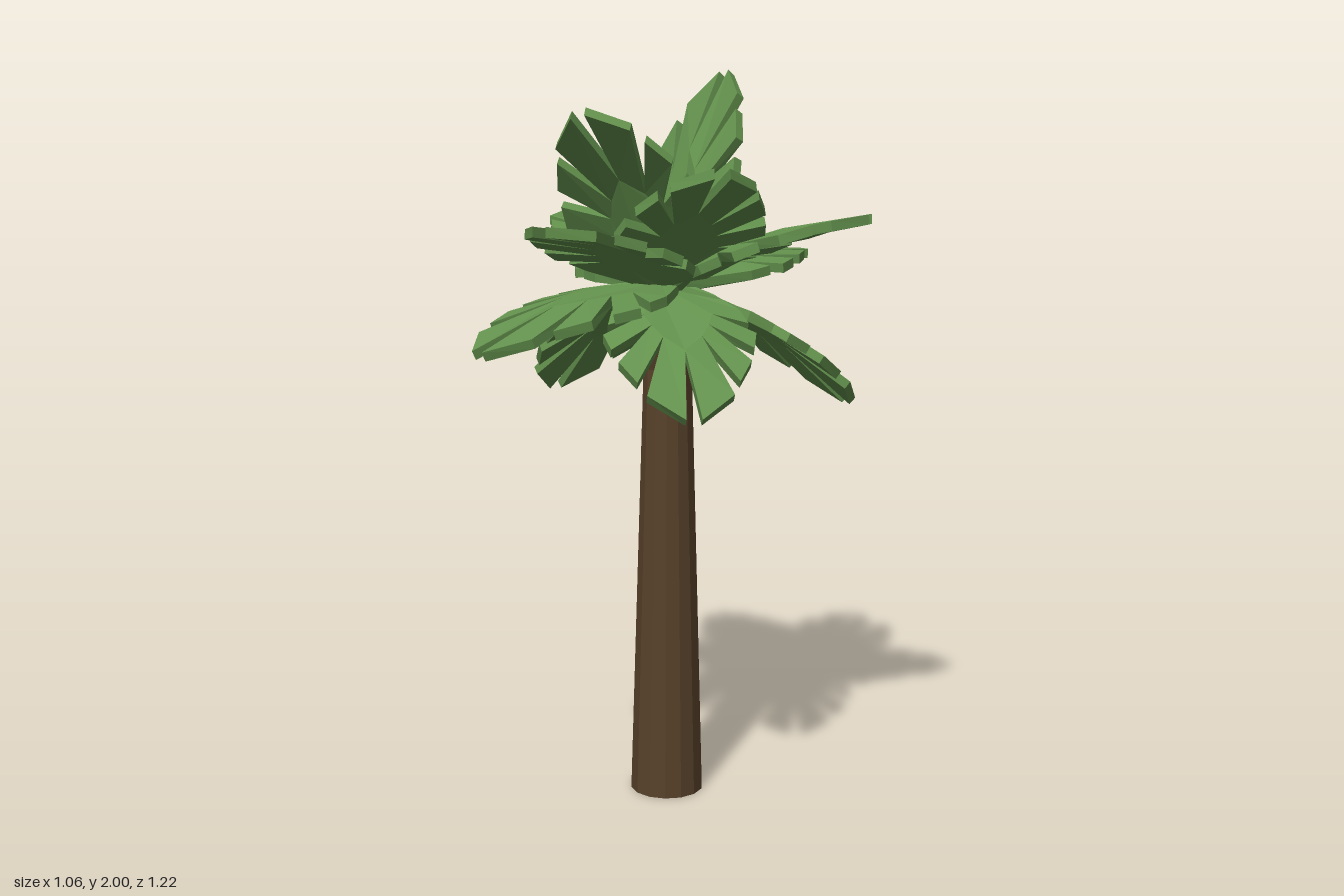
import * as THREE from 'three';

const bark = new THREE.MeshStandardMaterial({ color: 0x57412a, flatShading: true });
const green = new THREE.MeshStandardMaterial({ color: 0x63914d, flatShading: true });
const crown = new THREE.Vector3(0.07, 1.42, -0.03);
const THICK = 0.026;

// Half outline of a frond: u along the midrib (0..1), v sideways; lobes split by slits
const half = [
  [0, 0.04], [0.12, 0.11], [0.25, 0.17], [0.36, 0.185], [0.32, 0.09],
  [0.43, 0.2], [0.55, 0.185], [0.41, 0.075],
  [0.64, 0.17], [0.78, 0.13], [0.5, 0.05],
  [0.86, 0.11], [1.0, 0.02], [0.6, 0.0],
];

function frondGeometry(length, pitch, roll) {
  const pts = half.map(([u, v]) => new THREE.Vector2(u * length, v));
  const mirrored = half.slice(0, -1).reverse().map(([u, v]) => new THREE.Vector2(u * length, -v));
  const geo = new THREE.ExtrudeGeometry(new THREE.Shape([...pts, ...mirrored]), { depth: THICK, bevelEnabled: false });
  // Arch the slab along its length and let its sides sag a little
  const bend = 0.55, r = length / bend;
  const pos = geo.attributes.position;
  for (let i = 0; i < pos.count; i++) {
    const s = pos.getX(i), v = pos.getY(i), h = pos.getZ(i) - THICK / 2 - 0.6 * v * v;
    const angle = bend / 2 - s / r;
    const along = r * (Math.sin(bend / 2) - Math.sin(angle));
    const up = r * (Math.cos(angle) - Math.cos(bend / 2));
    pos.setXYZ(i, along - h * Math.sin(angle), up + h * Math.cos(angle), -v);
  }
  geo.computeVertexNormals();
  return geo.rotateX(roll).rotateZ(pitch);
}

// A frond from the crown to the given tip, turned about its midrib by roll
function frond(name, x, y, z, roll = 0) {
  const d = new THREE.Vector3(x, y, z).sub(crown);
  const pitch = Math.atan2(d.y, Math.hypot(d.x, d.z));
  const mesh = new THREE.Mesh(frondGeometry(d.length(), pitch, roll), green);
  mesh.name = name;
  mesh.position.copy(crown);
  mesh.rotation.y = Math.atan2(-d.z, d.x);
  return mesh;
}

export function createModel() {
  const model = new THREE.Group();
  model.name = 'palmTree';

  // Tapered trunk with a swollen head
  const profile = [[0, 0], [0.102, 0], [0.067, 1.2], [0.084, 1.27], [0.084, 1.32], [0.066, 1.39], [0.04, 1.425], [0, 1.425]];
  const trunk = new THREE.Mesh(
    new THREE.LatheGeometry(profile.map(([r, y]) => new THREE.Vector2(r, y)), 14), bark);
  trunk.name = 'trunk';
  trunk.position.set(0.07, 0, -0.025);
  model.add(trunk);

  // Fronds by tier: drooping, level, raised, upright
  const tiers = {
    droopingFrond: [[0.18, 1.07, -0.6], [0.49, 1.12, 0.2], [-0.53, 1.08, -0.03]],
    levelFrond: [[-0.08, 1.49, -0.6], [0.14, 1.28, 0.61], [-0.51, 1.43, -0.24]],
    raisedFrond: [[0.51, 1.61, -0.36], [0.27, 1.59, 0.51], [-0.51, 1.6, -0.08]],
    uprightFrond: [[0.01, 2.0, -0.27, -0.25], [0.14, 1.88, 0.31, 0.35], [0.52, 1.73, 0.14]],
  };
  for (const [name, tips] of Object.entries(tiers)) {
    tips.forEach((tip, i) => model.add(frond(name + (i + 1), ...tip)));
  }
  return model;
}
